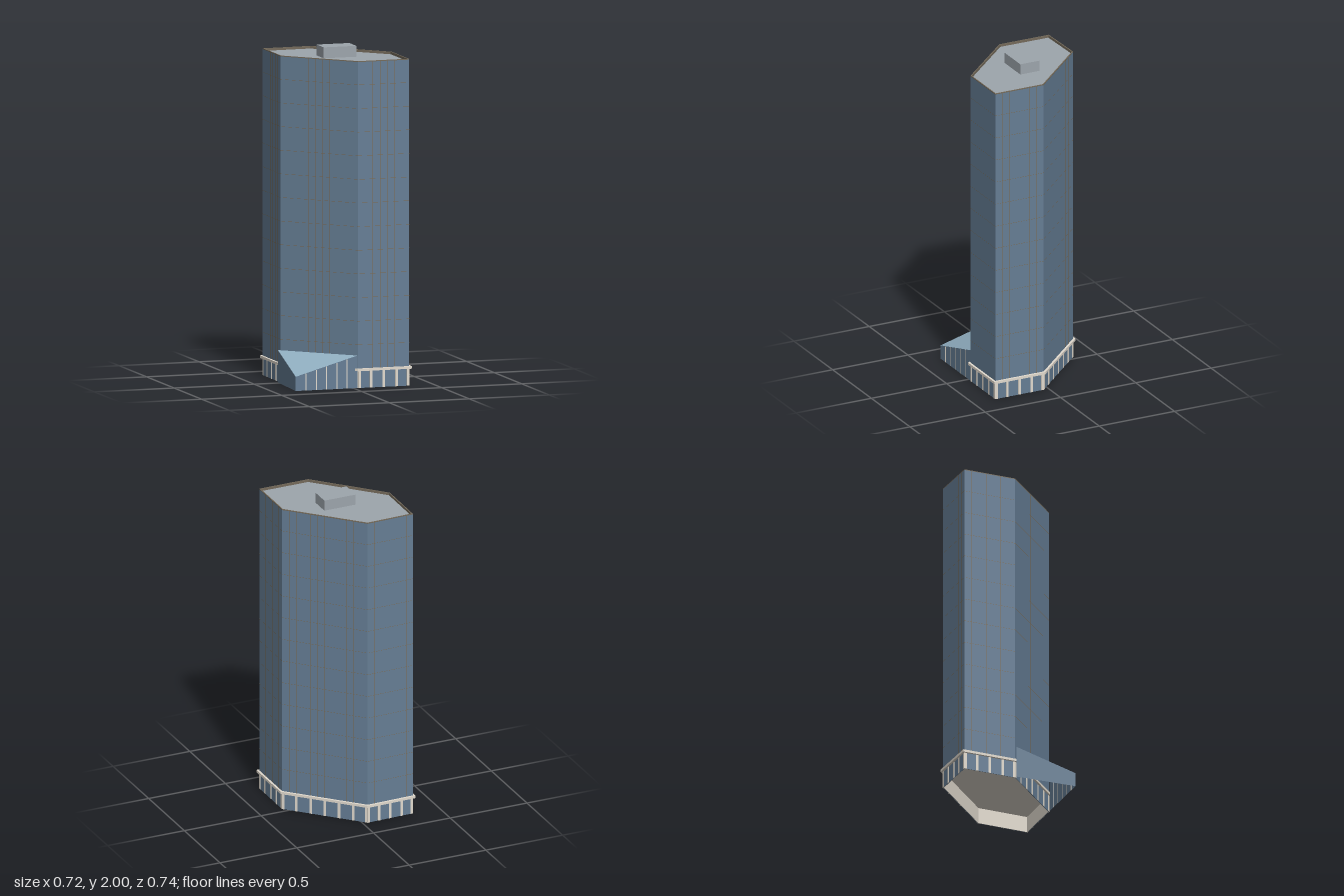
import * as THREE from 'three';

const mat = (name, color, side = THREE.FrontSide) => {
  const m = new THREE.MeshStandardMaterial({ color, side });
  m.name = name;
  return m;
};

// Hexagonal floor plan as [x, z]
const PLAN = [[-0.327, -0.347], [-0.029, -0.355], [0.347, 0.034], [0.347, 0.355], [0.028, 0.355], [-0.329, -0.02]];

// Edges with direction and outward normal
const edgesOf = (plan) => plan.map((a, i) => {
  const b = plan[(i + 1) % plan.length];
  const len = Math.hypot(b[0] - a[0], b[1] - a[1]);
  const dx = (b[0] - a[0]) / len, dz = (b[1] - a[1]) / len;
  return { a, len, dx, dz, nx: dz, nz: -dx };
});

// Plan grown outwards by d with mitred corners
function offset(plan, d) {
  const edges = edgesOf(plan);
  return plan.map((p, i) => {
    const e = edges[i], f = edges[(i + plan.length - 1) % plan.length];
    const k = d / (1 + e.nx * f.nx + e.nz * f.nz);
    return [p[0] + k * (e.nx + f.nx), p[1] + k * (e.nz + f.nz)];
  });
}

const points = (plan) => plan.map(([x, z]) => new THREE.Vector2(x, -z));

// Upright prism between two heights, optionally hollow
function prism(outer, y0, y1, inner) {
  const shape = new THREE.Shape(points(outer));
  if (inner) shape.holes.push(new THREE.Path(points(inner).reverse()));
  return new THREE.ExtrudeGeometry(shape, { depth: y1 - y0, bevelEnabled: false })
    .rotateX(-Math.PI / 2).translate(0, y0, 0);
}

export function createModel() {
  const model = new THREE.Group();
  model.name = 'tower';
  const glass = mat('blue glass', 0x667e95);
  const atriumGlass = mat('atrium glass', 0x667e95, THREE.DoubleSide);
  const skylight = mat('pale glass', 0x8fadbf, THREE.DoubleSide);
  const stone = mat('pale stone', 0xe2dbcf);
  const bronze = mat('bronze', 0x7d694d);
  const rim = mat('rim brown', 0x746a5a);
  const roofMat = mat('roof grey', 0x9da5ac);

  const add = (parent, name, geometry, material) => {
    const mesh = new THREE.Mesh(geometry, material);
    mesh.name = name;
    parent.add(mesh);
    return mesh;
  };
  const group = (name) => {
    const g = new THREE.Group();
    g.name = name;
    model.add(g);
    return g;
  };
  // Place a piece on a facade edge, t along it and out from it, facing outwards
  const onWall = (parent, name, e, t, out, y, geometry, material) => {
    const m = add(parent, name, geometry, material);
    m.position.set(e.a[0] + e.dx * t + e.nx * out, y, e.a[1] + e.dz * t + e.nz * out);
    m.rotation.y = Math.atan2(e.nx, e.nz);
  };

  // Shaft, recessed roof, parapet and plant room
  const base = 0.117, roofY = 1.935, top = 1.95;
  add(model, 'shaft', prism(PLAN, 0.104, roofY), [roofMat, glass]);
  add(model, 'parapetGlass', prism(PLAN, roofY, 1.945, offset(PLAN, -0.003)), glass);
  add(model, 'parapetLining', prism(offset(PLAN, -0.003), roofY, 1.945, offset(PLAN, -0.0065)), rim);
  add(model, 'coping', prism(PLAN, 1.945, top, offset(PLAN, -0.0065)), rim);
  const plant = add(model, 'plantRoom', new THREE.BoxGeometry(0.204, 2 - roofY, 0.128), roofMat);
  plant.position.set(0.013, (2 + roofY) / 2, 0.005);

  // Hollow ground floor with stone lining, soffit and ledge
  add(model, 'groundFloorGlass', prism(PLAN, 0, 0.104, offset(PLAN, -0.003)), glass);
  add(model, 'groundFloorLining', prism(offset(PLAN, -0.003), 0, 0.104, offset(PLAN, -0.006)), stone);
  add(model, 'soffit', prism(offset(PLAN, -0.004), 0.098, 0.105), stone);
  add(model, 'ledge', prism(offset(PLAN, 0.013), 0.102, base, offset(PLAN, -0.002)), stone);

  // Thin facade grid and ground floor mullions
  const grid = group('facadeGrid');
  const mullions = group('groundFloorMullions');
  const floors = 13;
  for (const e of edgesOf(PLAN)) {
    const bays = Math.round(e.len / 0.0455);
    for (let i = 1; i < bays; i++) {
      onWall(grid, 'verticalLine', e, e.len * i / bays, 0.0006, (base + 1.945) / 2,
        new THREE.PlaneGeometry(0.002, 1.945 - base), bronze);
    }
    for (let i = 1; i < floors; i++) {
      onWall(grid, 'floorLine', e, e.len / 2, 0.0006, base + (top - base) * i / floors,
        new THREE.PlaneGeometry(e.len, 0.0016), bronze);
    }
    const panes = Math.round(e.len / 0.084);
    for (let i = 0; i <= panes; i++) {
      const t = THREE.MathUtils.clamp(e.len * i / panes, 0.008, e.len - 0.008);
      onWall(mullions, 'mullion', e, t, 0, 0.051, new THREE.BoxGeometry(0.016, 0.102, 0.004), stone);
    }
  }

  // Atrium: low outer corner, two high corners beside the shaft
  const atrium = group('atrium');
  const low = 0.085, high = 0.194;
  const corner = [-0.362, 0.354], right = [0.023, 0.354], back = [-0.345, -0.018];
  const face = (name, pts, material) => {
    const g = new THREE.BufferGeometry();
    g.setAttribute('position', new THREE.Float32BufferAttribute(pts.flat(), 3));
    g.setIndex(pts.length === 4 ? [0, 1, 2, 0, 2, 3] : [0, 1, 2]);
    g.computeVertexNormals();
    add(atrium, name, g, material);
  };
  const at = ([x, z], y) => [x, y, z];
  face('atriumFront', [at(corner, 0), at(right, 0), at(right, high), at(corner, low)], atriumGlass);
  face('atriumSide', [at(back, 0), at(corner, 0), at(corner, low), at(back, high)], atriumGlass);
  face('atriumRoof', [at(corner, low), at(right, high), at(back, high)], skylight);

  // Atrium front mullions follow the sloping eave
  for (let i = 1; i < 6; i++) {
    const f = i / 6, h = low + (high - low) * f - 0.002;
    const m = add(atrium, 'atriumMullion', new THREE.BoxGeometry(0.006, h, 0.002), stone);
    m.position.set(corner[0] + (right[0] - corner[0]) * f, h / 2, 0.354);
  }
  return model;
}
